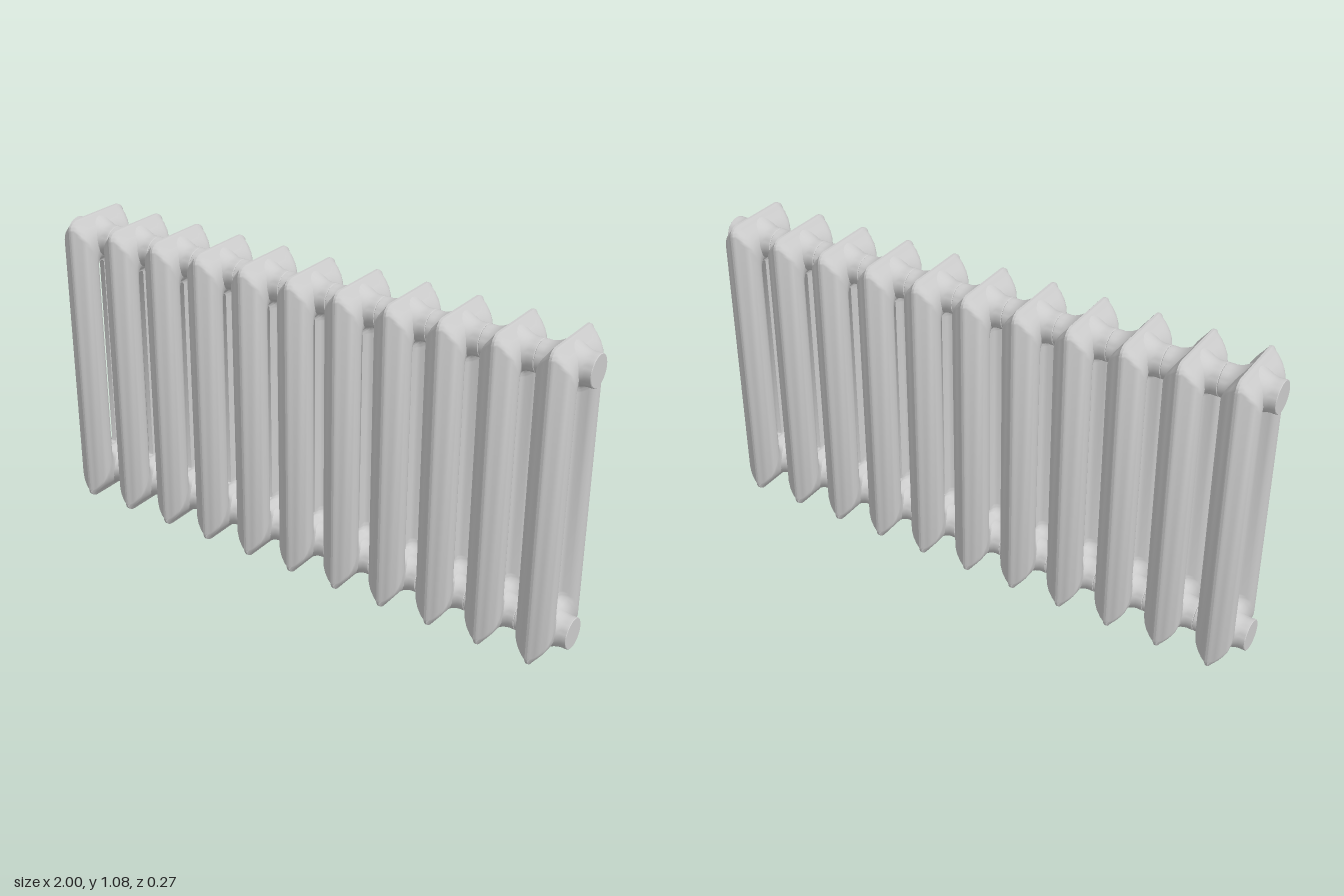
import * as THREE from 'three';
import { toCreasedNormals } from 'three/addons/utils/BufferGeometryUtils.js';

const SECTIONS = 11, PITCH = 0.1818, MID_Y = 0.54;
const CORNER_STEPS = 8;

// Rings from the outer rim to the slot:
// half depth, half height, corner radius, half width at the columns, half width at the ends
const RINGS = [
  [0.135, 0.54, 0.035, 0.004, 0.004],
  [0.129, 0.534, 0.034, 0.011, 0.009],
  [0.126, 0.527, 0.036, 0.024, 0.014],
  [0.119, 0.517, 0.04, 0.039, 0.021],
  [0.110, 0.505, 0.045, 0.051, 0.031],
  [0.100, 0.490, 0.045, 0.058, 0.042],
  [0.088, 0.470, 0.045, 0.061, 0.050],
  [0.072, 0.440, 0.045, 0.060, 0.052],
  [0.060, 0.405, 0.040, 0.055, 0.045],
  [0.053, 0.385, 0.034, 0.042, 0.032],
  [0.048, 0.376, 0.030, 0.022, 0.018],
  [0.040, 0.371, 0.025, 0.013, 0.012],
  [0.013, 0.364, 0.012, 0.010, 0.010],
  [0.010, 0.3625, 0.010, 0.000, 0.000],
];

// Rounded rectangle loop; the width blends from column to end around the corner
function ringPoints([hz, hy, r, xSide, xEnd], sign) {
  const points = [];
  for (let corner = 0; corner < 4; corner++) {
    const sz = corner === 0 || corner === 3 ? 1 : -1;
    const sy = corner < 2 ? 1 : -1;
    for (let i = 0; i <= CORNER_STEPS; i++) {
      const a = (corner + i / CORNER_STEPS) * Math.PI / 2;
      const w = Math.sin(a) ** 2;
      points.push([
        sign * (xSide + (xEnd - xSide) * w),
        sy * (hy - r) + r * Math.sin(a),
        sz * (hz - r) + r * Math.cos(a),
      ]);
    }
  }
  return points;
}

// Closed shell: one face inward to the slot, then the mirrored face back out to the rim
function sectionGeometry() {
  const loops = RINGS.map((ring) => ringPoints(ring, 1));
  for (let k = RINGS.length - 2; k >= 0; k--) loops.push(ringPoints(RINGS[k], -1));
  const n = loops[0].length, count = loops.length, index = [];
  for (let k = 0; k < count; k++) {
    for (let j = 0; j < n; j++) {
      const k2 = (k + 1) % count, j2 = (j + 1) % n;
      const a = k * n + j, b = k2 * n + j, c = k2 * n + j2, d = k * n + j2;
      index.push(a, b, c, a, c, d);
    }
  }
  const geometry = new THREE.BufferGeometry();
  geometry.setAttribute('position', new THREE.Float32BufferAttribute(loops.flat(2), 3));
  geometry.setIndex(index);
  return toCreasedNormals(geometry, Math.PI / 4);
}

// Horizontal connecting hub, flaring into the section at its middle
function hubGeometry() {
  const half = [[0, 0.0909], [0.051, 0.0909], [0.053, 0.089], [0.053, 0.076], [0.0525, 0.068],
    [0.054, 0.056], [0.058, 0.043], [0.064, 0.031], [0.072, 0.019], [0.080, 0.009]];
  const profile = [
    ...half.map(([r, x]) => new THREE.Vector2(r, -x)),
    new THREE.Vector2(0.084, 0),
    ...half.slice().reverse().map(([r, x]) => new THREE.Vector2(r, x)),
  ];
  const geometry = new THREE.LatheGeometry(profile, 32);
  geometry.rotateZ(-Math.PI / 2);
  return toCreasedNormals(geometry, Math.PI / 5);
}

export function createModel() {
  const model = new THREE.Group();
  model.name = 'radiator';
  const material = new THREE.MeshStandardMaterial({ color: 0xcccccc });
  const body = sectionGeometry(), hub = hubGeometry();

  for (let i = 0; i < SECTIONS; i++) {
    const section = new THREE.Group();
    section.name = `section${i + 1}`;
    section.position.set((i - (SECTIONS - 1) / 2) * PITCH, MID_Y, 0);

    const columns = new THREE.Mesh(body, material);
    columns.name = 'columns';
    section.add(columns);

    for (const [name, y] of [['upperHub', 0.452], ['lowerHub', -0.452]]) {
      const mesh = new THREE.Mesh(hub, material);
      mesh.name = name;
      mesh.position.y = y;
      section.add(mesh);
    }
    model.add(section);
  }
  return model;
}
